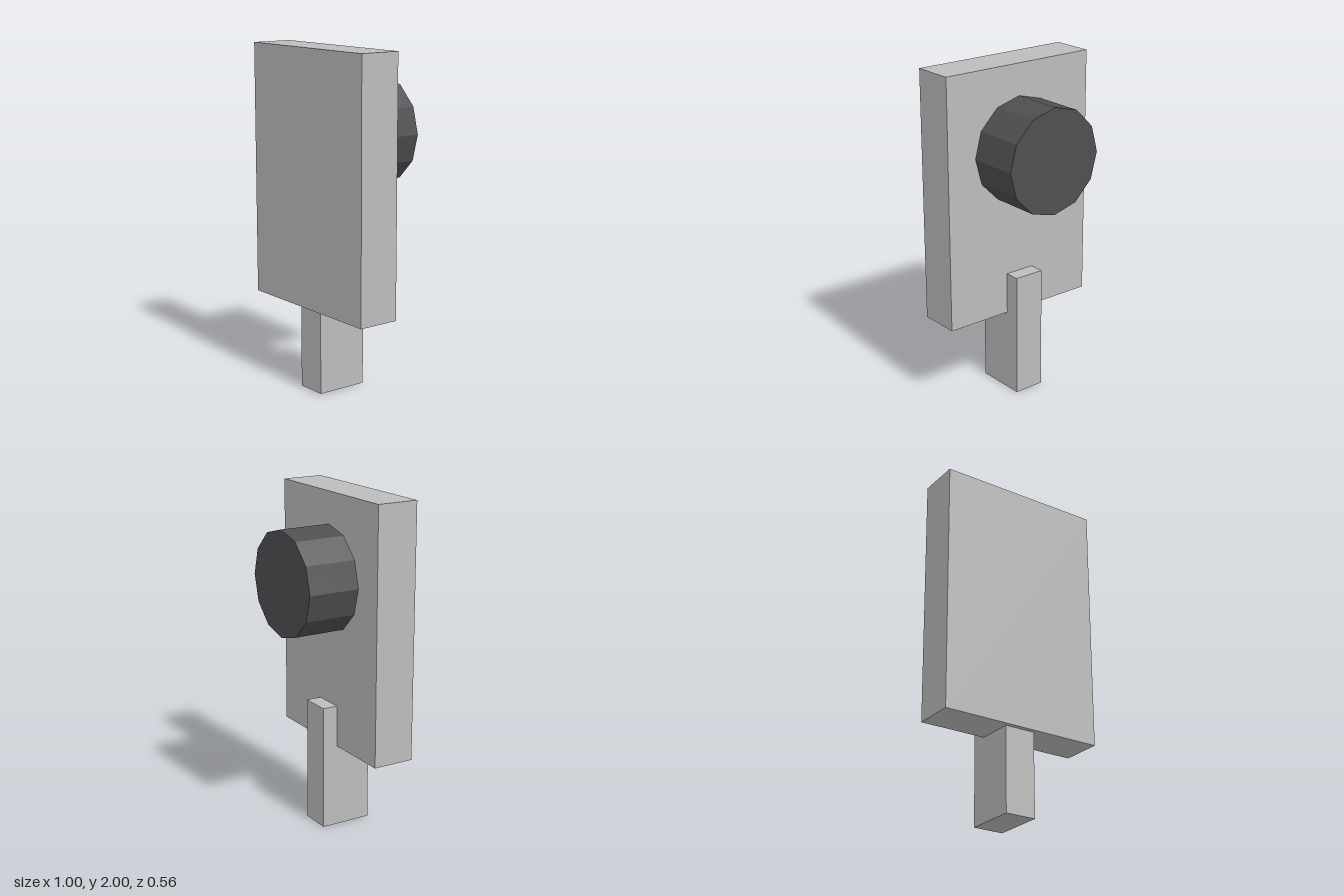
import * as THREE from 'three';

export function createModel() {
  const model = new THREE.Group();
  model.name = 'paddleSign';

  const lightGrey = new THREE.MeshStandardMaterial({ color: 0xbcbcbc });
  lightGrey.name = 'light grey';
  const darkGrey = new THREE.MeshStandardMaterial({ color: 0x4f4f52, flatShading: true });
  darkGrey.name = 'dark grey';

  const add = (name, geometry, material, x, y, z) => {
    const mesh = new THREE.Mesh(geometry, material);
    mesh.name = name;
    mesh.position.set(x, y, z);
    model.add(mesh);
    return mesh;
  };

  // Upright slab
  add('panel', new THREE.BoxGeometry(1, 1.5, 0.25), lightGrey, 0, 1.25, 0.155);

  // Post under the slab, rising a little way up its back
  add('post', new THREE.BoxGeometry(0.1875, 0.75, 0.3125), lightGrey, 0, 0.375, 0.095);

  // Twelve-sided drum on the back
  const drum = new THREE.CylinderGeometry(0.3125, 0.3125, 0.3125, 12);
  drum.rotateX(Math.PI / 2);
  add('drum', drum, darkGrey, 0, 1.5, -0.125);

  return model;
}
